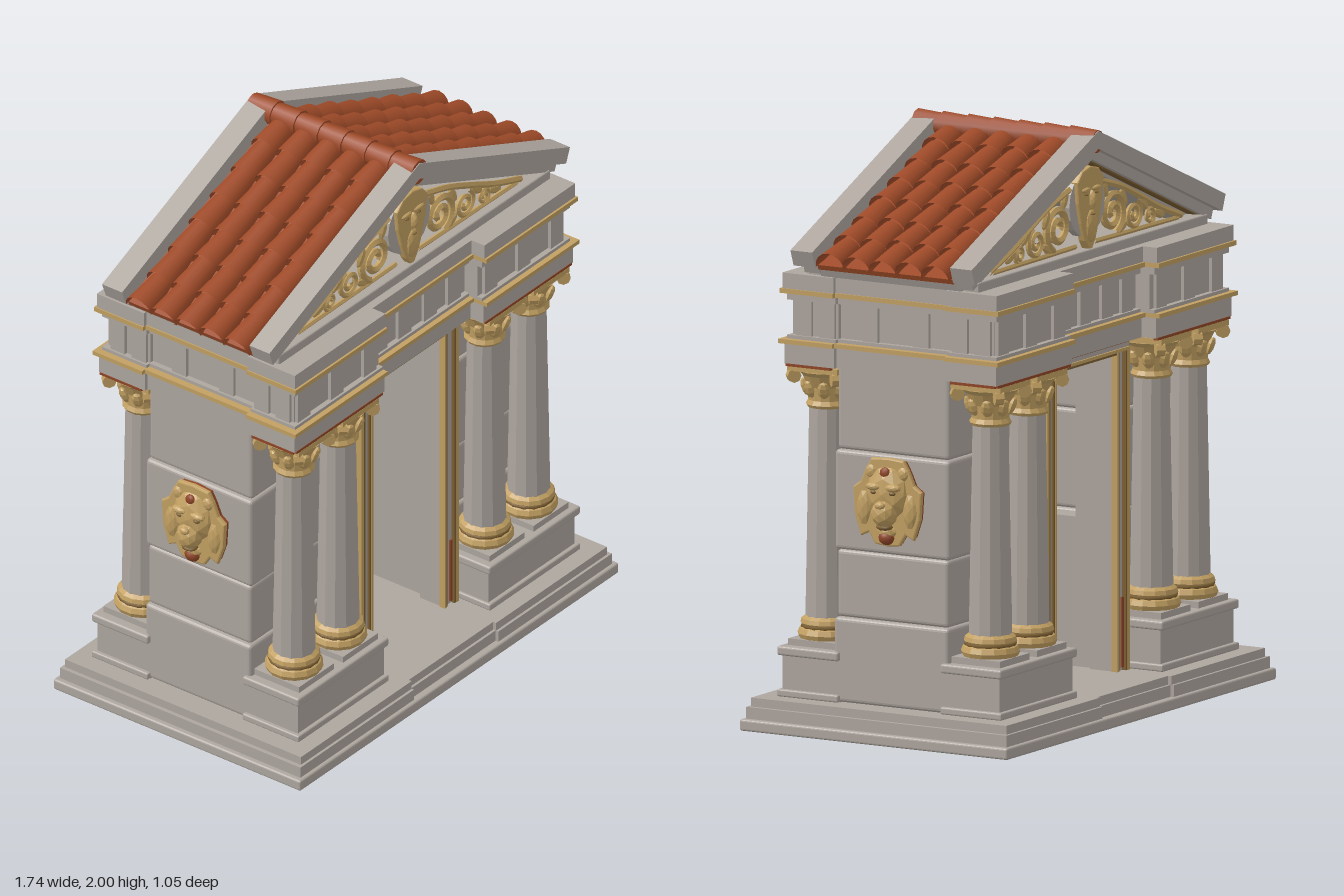
import * as THREE from 'three';
import { RoundedBoxGeometry } from 'three/addons/geometries/RoundedBoxGeometry.js';

const mat = (name, color, extra = {}) => Object.assign(new THREE.MeshStandardMaterial({ color, ...extra }), { name });
const stone = mat('stone', 0xaea69f, { flatShading: true });
const gold = mat('gold', 0xc2a062, { flatShading: true });
const bronze = mat('dark bronze', 0x7d5f32);
const tile = mat('terracotta', 0x9e4a28, { side: THREE.DoubleSide });
const rust = mat('rust red', 0x8f4526);

const S = [-1, 1];

function add(parent, name, geo, material, x = 0, y = 0, z = 0) {
  const m = new THREE.Mesh(geo, material);
  m.name = name;
  m.position.set(x, y, z);
  parent.add(m);
  return m;
}
// Box given by its limits
function box(parent, name, material, x0, x1, y0, y1, z0, z1, r = 0) {
  const w = Math.abs(x1 - x0), h = y1 - y0, d = Math.abs(z1 - z0);
  const g = r ? new RoundedBoxGeometry(w, h, d, 2, r) : new THREE.BoxGeometry(w, h, d);
  return add(parent, name, g, material, (x0 + x1) / 2, (y0 + y1) / 2, (z0 + z1) / 2);
}
const poly = pts => new THREE.Shape(pts.map(p => new THREE.Vector2(p[0], p[1])));
// Closed outline from its right half, top to bottom
const mirrored = half => poly([...half, ...half.slice(1, -1).reverse().map(p => [-p[0], p[1]])].reverse());
const extrude = (shape, depth, bevel = 0) => new THREE.ExtrudeGeometry(shape, {
  depth, curveSegments: 10, bevelEnabled: bevel > 0, bevelSize: bevel, bevelThickness: bevel, bevelSegments: 2 });
const lathe = (pts, n) => new THREE.LatheGeometry(pts.map(p => new THREE.Vector2(p[0], p[1])), n);

// Horizontal layer whose middle bays step back on all four sides
function layer(parent, name, material, X, Z, y0, y1, nx, fx, nz, fz) {
  const a = [[X - fz, 0], [X - fz, nz], [X, nz], [X, Z], [nx, Z], [nx, Z - fx]];
  const pts = [...a, ...a.slice(1).reverse().map(p => [-p[0], p[1]]), [-X + fz, 0],
    ...a.slice(1).map(p => [-p[0], -p[1]]), ...a.slice(1).reverse().map(p => [p[0], -p[1]])];
  add(parent, name, extrude(poly(pts), y1 - y0).rotateX(-Math.PI / 2), material, 0, y0, 0);
}

function column() {
  const g = new THREE.Group();
  g.name = 'column';
  add(g, 'plinth', new THREE.BoxGeometry(0.19, 0.025, 0.19), stone, 0, 0.292, 0);
  add(g, 'columnBase', lathe([[0, 0.303], [0.093, 0.303], [0.1, 0.32], [0.093, 0.337], [0.08, 0.345], [0.09, 0.355],
    [0.086, 0.37], [0.072, 0.38], [0, 0.38]], 14), gold);
  add(g, 'baseRing', new THREE.TorusGeometry(0.082, 0.008, 6, 14).rotateX(Math.PI / 2), bronze, 0, 0.345, 0);
  add(g, 'shaft', new THREE.CylinderGeometry(0.06, 0.073, 0.74, 12), stone, 0, 0.74, 0);
  add(g, 'capitalBell', lathe([[0, 1.09], [0.066, 1.09], [0.072, 1.1], [0.064, 1.115], [0.066, 1.16], [0.085, 1.2],
    [0.1, 1.215], [0, 1.215]], 14), gold);
  // Ring of curling leaves, then corner scrolls
  for (let i = 0; i < 8; i++) {
    const a = (i + 0.5) * Math.PI / 4;
    const leaf = add(g, 'leaf', new THREE.SphereGeometry(1, 6, 5), gold, Math.sin(a) * 0.074, 1.155, Math.cos(a) * 0.074);
    leaf.scale.set(0.022, 0.032, 0.014);
    leaf.rotation.set(0.35, a, 0, 'YXZ');
  }
  for (const x of S) for (const z of S) {
    const v = add(g, 'cornerScroll', new THREE.CylinderGeometry(0.024, 0.024, 0.03, 8).rotateZ(Math.PI / 2), gold,
      x * 0.082, 1.2, z * 0.082);
    v.rotation.y = x * z * Math.PI / 4;
  }
  add(g, 'abacus', new THREE.BoxGeometry(0.195, 0.02, 0.195), gold, 0, 1.227, 0);
  return g;
}

function lionHead() {
  const g = new THREE.Group();
  g.name = 'lionHead';
  const outline = mirrored([[0, 0.145], [0.06, 0.14], [0.08, 0.105], [0.1, 0.06], [0.128, 0.04], [0.122, -0.05],
    [0.1, -0.115], [0.07, -0.1], [0.045, -0.14], [0, -0.145]]);
  add(g, 'maneBack', extrude(outline, 0.022), rust);
  add(g, 'mane', extrude(outline, 0.008, 0.006), gold, 0, 0, 0.026);
  const blob = (name, m, x, y, z, sx, sy, sz) =>
    add(g, name, new THREE.IcosahedronGeometry(1, 1), m, x, y, z).scale.set(sx, sy, sz);
  blob('skull', gold, 0, 0.03, 0.025, 0.085, 0.1, 0.05);
  blob('muzzle', gold, 0, -0.035, 0.055, 0.046, 0.05, 0.044);
  blob('nose', gold, 0, -0.005, 0.085, 0.02, 0.014, 0.014);
  blob('mouth', bronze, 0, -0.082, 0.055, 0.03, 0.012, 0.025);
  blob('jaw', gold, 0, -0.1, 0.025, 0.042, 0.028, 0.035);
  blob('tongue', rust, 0, -0.12, 0.04, 0.03, 0.026, 0.024);
  blob('crest', rust, 0, 0.1, 0.052, 0.02, 0.022, 0.012);
  for (const s of S) {
    blob('cheekMane', gold, s * 0.09, -0.025, 0.028, 0.032, 0.07, 0.024);
    blob('ear', gold, s * 0.062, 0.1, 0.03, 0.025, 0.028, 0.02);
    blob('brow', gold, s * 0.038, 0.055, 0.063, 0.03, 0.014, 0.018);
    blob('eye', bronze, s * 0.036, 0.036, 0.064, 0.013, 0.008, 0.01);
  }
  return g;
}

// Pierced scrollwork and bearded mask for one gable, facing +z
function gableOrnament() {
  const g = new THREE.Group();
  g.name = 'gableOrnament';
  const tube = (name, pts, r) => add(g, name, new THREE.TubeGeometry(
    new THREE.CatmullRomCurve3(pts.map(p => new THREE.Vector3(p[0], p[1], 0.3))), 36, r, 5), gold);
  for (const s of S) {
    for (const [x, y, R, dir] of [[0.175, 1.68, 0.078, 1], [0.315, 1.652, 0.052, -1], [0.42, 1.63, 0.032, 1]]) {
      const pts = [];
      for (let i = 0; i <= 26; i++) {
        const t = i / 26, a = dir * t * Math.PI * 3.6 - dir * 1.2, r = R * (1 - 0.82 * t);
        pts.push([s * (x + r * Math.cos(a)), y + r * Math.sin(a)]);
      }
      tube('scroll', pts, R * 0.15 + 0.002);
    }
    tube('upperStem', [[s * 0.1, 1.8], [s * 0.22, 1.765], [s * 0.36, 1.705], [s * 0.48, 1.65], [s * 0.62, 1.6]], 0.012);
    tube('lowerStem', [[s * 0.06, 1.6], [s * 0.25, 1.598], [s * 0.42, 1.597], [s * 0.6, 1.595]], 0.009);
    for (const [x, y, rot] of [[0.25, 1.72, 0.5], [0.38, 1.68, 0.9], [0.48, 1.63, 1.2], [0.13, 1.77, 0.4], [0.24, 1.62, 2]]) {
      const leaf = add(g, 'leaf', new THREE.SphereGeometry(1, 6, 5), gold, s * x, y, 0.3);
      leaf.scale.set(0.018, 0.036, 0.01);
      leaf.rotation.z = s * rot;
    }
  }
  add(g, 'medallion', new THREE.CylinderGeometry(0.115, 0.115, 0.03, 16).rotateX(Math.PI / 2), stone, 0, 1.74, 0.295);
  add(g, 'mask', extrude(mirrored([[0, 1.862], [0.05, 1.85], [0.078, 1.82], [0.07, 1.75], [0.05, 1.68], [0.028, 1.62],
    [0, 1.578]]), 0.02, 0.006), gold, 0, 0, 0.3);
  const lump = (name, m, x, y, sx, sy, sz) =>
    add(g, name, new THREE.IcosahedronGeometry(1, 1), m, x, y, 0.322).scale.set(sx, sy, sz);
  lump('nose', gold, 0, 1.755, 0.012, 0.035, 0.025);
  lump('beard', gold, 0, 1.665, 0.033, 0.06, 0.02);
  lump('mouth', bronze, 0, 1.705, 0.018, 0.004, 0.019);
  for (const s of S) {
    lump('brow', gold, s * 0.034, 1.79, 0.03, 0.01, 0.014);
    lump('eye', bronze, s * 0.032, 1.774, 0.012, 0.004, 0.011);
  }
  return g;
}

export function createModel() {
  const root = new THREE.Group();
  root.name = 'smallTemple';

  // Stepped base
  box(root, 'baseSlab', stone, -0.87, 0.87, 0, 0.04, -0.525, 0.525, 0.008);
  layer(root, 'baseMoulding', stone, 0.85, 0.51, 0.035, 0.08, 0.23, 0.012, 0.3, 0);
  layer(root, 'baseTop', stone, 0.835, 0.5, 0.08, 0.11, 0.23, 0.012, 0.3, 0);

  for (const s of S) {
    // Passage lining, with a niche on one side
    const lining = poly([[-0.24, 0.11], [0.24, 0.11], [0.24, 1.25], [-0.24, 1.25]]);
    if (s < 0) lining.holes.push(new THREE.Path([[0, 0.62], [0, 1.02], [0.13, 1.02], [0.13, 0.62]]
      .map(p => new THREE.Vector2(...p))));
    add(root, 'passageWall', extrude(lining, 0.08).rotateY(Math.PI / 2), stone, s < 0 ? -0.3 : 0.22);
    // Masonry courses
    [[0.11, 0.4, 0.755], [0.4, 0.63, 0.745], [0.63, 0.97, 0.75], [0.97, 1.26, 0.74]].forEach(([y0, y1, x], i) =>
      box(root, 'wallBlock', stone, s * 0.295, s * x, y0, y1, -0.225 + (i % 2) * 0.006, 0.225 - (i % 2) * 0.006, 0.014));

    const lion = lionHead();
    lion.position.set(s * 0.742, 0.815, 0);
    lion.rotation.y = s * Math.PI / 2;
    root.add(lion);

    for (const f of S) {
      // Pedestal with foot and cap
      box(root, 'pedestal', stone, s * 0.285, s * 0.755, 0.11, 0.26, f * 0.2, f * 0.425);
      box(root, 'pedestalFoot', stone, s * 0.275, s * 0.77, 0.11, 0.135, f * 0.2, f * 0.44, 0.006);
      box(root, 'pedestalCap', stone, s * 0.275, s * 0.77, 0.25, 0.282, f * 0.2, f * 0.44, 0.008);
      for (const x of [0.4, 0.64]) {
        const c = column();
        c.position.set(s * x, 0, f * 0.32);
        root.add(c);
      }
      // Door jamb with gilded edges
      box(root, 'doorJamb', stone, s * 0.2, s * 0.262, 0.11, 1.24, f * 0.2, f * 0.3);
      box(root, 'jambGilding', gold, s * 0.195, s * 0.205, 0.11, 1.21, f * 0.288, f * 0.31);
      box(root, 'jambShadowLine', bronze, s * 0.205, s * 0.213, 0.11, 1.2, f * 0.292, f * 0.308);
      box(root, 'jambShadowLine', bronze, s * 0.243, s * 0.254, 0.11, 1.2, f * 0.29, f * 0.314);
      box(root, 'jambGilding', gold, s * 0.254, s * 0.266, 0.11, 1.21, f * 0.285, f * 0.316);
      box(root, 'jambRustLine', rust, s * 0.232, s * 0.243, 0.12, 0.36, f * 0.295, f * 0.306);
      // Red line above the capitals
      box(root, 'capitalRustLine', rust, s * 0.28, s * 0.75, 1.237, 1.246, f * 0.4, f * 0.417);
      box(root, 'capitalRustLine', rust, s * 0.745, s * 0.762, 1.237, 1.246, f * 0.235, f * 0.41);
    }
  }
  for (const f of S) {
    box(root, 'lintel', stone, -0.27, 0.27, 1.205, 1.25, f * 0.18, f * 0.31);
    box(root, 'lintelGilding', gold, -0.266, 0.266, 1.2, 1.211, f * 0.288, f * 0.316);
    box(root, 'lintelShadowLine', bronze, -0.2, 0.2, 1.19, 1.2, f * 0.29, f * 0.308);
    box(root, 'lintelRustLine', rust, -0.26, 0.26, 1.228, 1.24, f * 0.3, f * 0.316);
  }

  // Entablature: material, half width, half depth, bottom, top
  [['architrave', stone, 0.76, 0.415, 1.245, 1.315], ['architraveGilding', gold, 0.775, 0.43, 1.315, 1.33],
    ['architraveCap', stone, 0.75, 0.41, 1.33, 1.342], ['frieze', stone, 0.73, 0.39, 1.34, 1.48],
    ['friezeCap', stone, 0.75, 0.41, 1.462, 1.486], ['corniceGilding', gold, 0.77, 0.428, 1.486, 1.502],
    ['cornice', stone, 0.765, 0.42, 1.502, 1.555]]
    .forEach(([n, m, X, Z, y0, y1]) => layer(root, n, m, X, Z, y0, y1, 0.27, 0.055, 0.22, 0.015));
  for (const f of S) {
    for (const x of [-0.69, -0.51, -0.33, -0.2, -0.07, 0.07, 0.2, 0.33, 0.51, 0.69]) {
      const z = Math.abs(x) < 0.27 ? 0.335 : 0.39;
      box(root, 'friezeBlock', stone, x - 0.035, x + 0.035, 1.34, 1.465, f * (z - 0.02), f * (z + 0.012));
    }
    for (const z of [-0.35, -0.26, -0.1, 0.1, 0.26, 0.35]) {
      const x = Math.abs(z) < 0.22 ? 0.715 : 0.73;
      box(root, 'friezeBlock', stone, f * (x - 0.02), f * (x + 0.012), 1.34, 1.465, z - 0.03, z + 0.03);
    }
    box(root, 'gableSill', stone, -0.74, 0.74, 1.55, 1.588, f * 0.26, f * 0.335, 0.006);
  }

  // Gables: stepped sloping cornices with open scrollwork between
  const m = 0.42, slope = Math.atan(m);
  const chevron = (top, t, w) => poly([[0, top], [-w, top - m * w], [-w + t * 0.38, top - m * w - t],
    [0, top - t * 1.1], [w - t * 0.38, top - m * w - t], [w, top - m * w]]);
  for (const f of S) {
    const gable = new THREE.Group();
    gable.name = 'gable';
    gable.rotation.y = f < 0 ? Math.PI : 0;
    add(gable, 'slopingCornice', extrude(chevron(1.99, 0.055, 0.82), 0.085), stone, 0, 0, 0.27);
    add(gable, 'slopingMoulding', extrude(chevron(1.94, 0.045, 0.785), 0.06), stone, 0, 0, 0.27);
    add(gable, 'slopingLine', extrude(chevron(1.893, 0.008, 0.73), 0.04), bronze, 0, 0, 0.27);
    gable.add(gableOrnament());
    root.add(gable);
  }

  // Roof halves with rows of overlapping tiles
  const L = 0.8 / Math.cos(slope), n = 7, step = L / n;
  const tileGeo = new THREE.CylinderGeometry(0.055, 0.044, step * 1.1, 8, 1, true, Math.PI, Math.PI).rotateZ(-Math.PI / 2);
  for (const s of S) {
    const turn = new THREE.Group(), half = new THREE.Group();
    turn.name = 'roofHalf';
    half.name = 'roofSlope';
    turn.rotation.y = s < 0 ? Math.PI : 0;
    half.position.y = 1.925;
    half.rotation.z = -slope;
    box(half, 'roofBoard', stone, 0, L - 0.03, -0.05, -0.01, -0.275, 0.275);
    box(half, 'tileBed', tile, 0, L - 0.01, -0.01, 0.008, -0.265, 0.265);
    for (let r = -2; r <= 2; r++) for (let i = 0; i < n; i++) {
      const t = add(half, 'roofTile', tileGeo, tile, (i + 0.5) * step, 0.006, r * 0.103);
      t.rotation.z = 0.05 + 0.03 * ((i + r + 9) % 3 - 1);
    }
    turn.add(half);
    root.add(turn);
  }
  for (let i = 0; i < 7; i++)
    add(root, 'ridgeTile', new THREE.CylinderGeometry(0.046, 0.039, 0.104, 10).rotateX(Math.PI / 2), tile,
      0, 1.954, (i - 3) * 0.1);
  return root;
}
